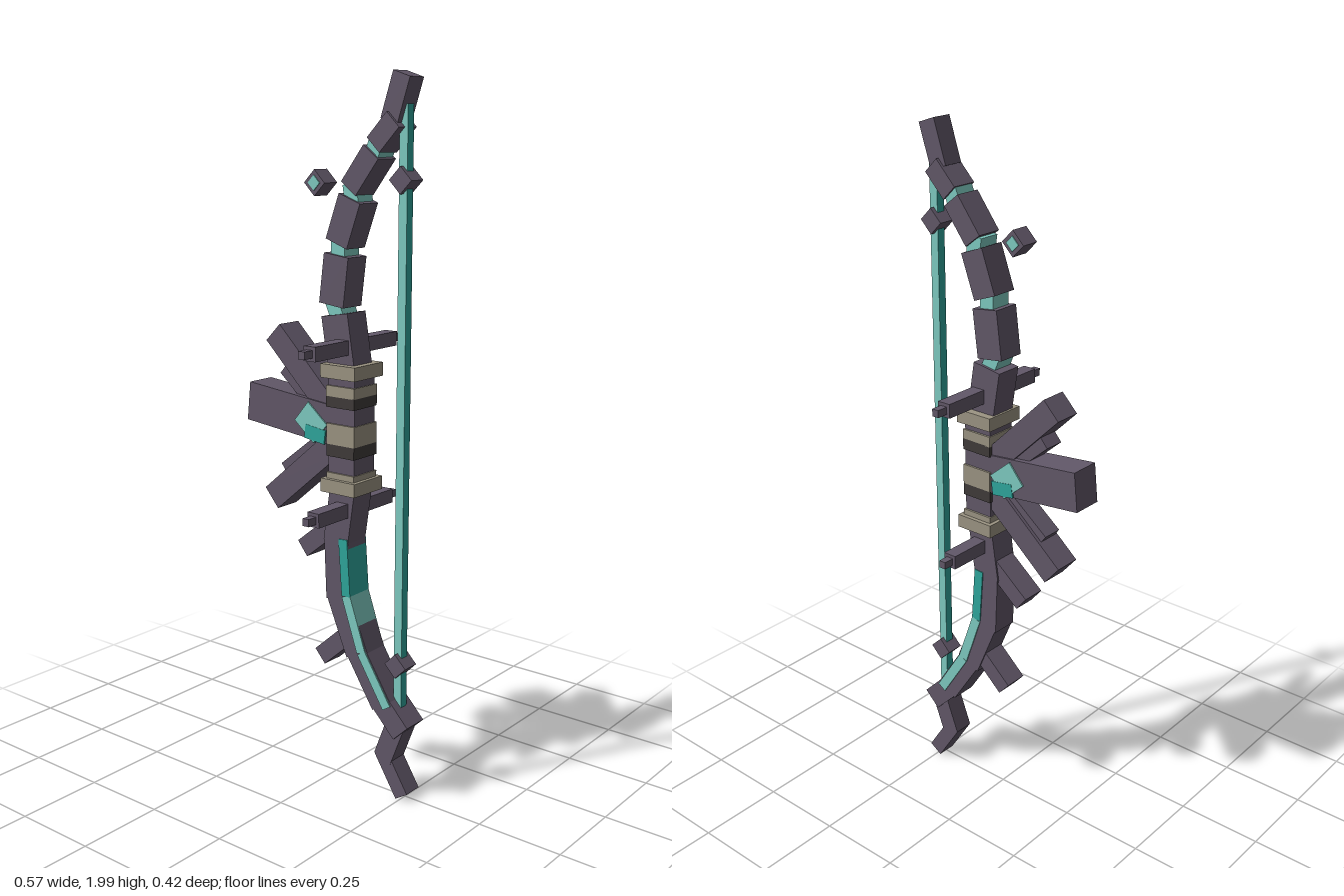
import * as THREE from 'three';

export function createModel() {
  const root = new THREE.Group();
  const paint = (name, hex) => {
    const m = new THREE.MeshStandardMaterial({ color: hex });
    m.name = name;
    return m;
  };
  const purple = paint('dusky purple', 0x625869);
  const tan = paint('tan wrap', 0x9c9583);
  const dark = paint('dark wrap', 0x403b3a);
  const teal = paint('teal', 0x2fa79d);
  const pale = paint('pale teal', 0x7fccc2);

  const box = (name, x, y, z, w, h, d, mat, turn = 0) => {
    const mesh = new THREE.Mesh(new THREE.BoxGeometry(w, h, d), mat);
    mesh.name = name;
    mesh.position.set(x, y, z);
    mesh.rotation.z = turn;
    root.add(mesh);
    return mesh;
  };
  // A box running from (x1, y1) to (x2, y2), centred on z = 0
  const bar = (name, [x1, y1, x2, y2], w, d, mat) => {
    const dx = x2 - x1, dy = y2 - y1;
    return box(name, (x1 + x2) / 2, (y1 + y2) / 2, 0, w, Math.hypot(dx, dy), d, mat, Math.atan2(-dx, dy));
  };

  // Upper limb: separate blocks joined by small glowing links
  const upper = [
    [[0.053, 1.19, 0.024, 1.365], 0.09, 0.08],
    [[0.013, 1.39, 0.03, 1.525], 0.083, 0.08],
    [[0.03, 1.555, 0.074, 1.675], 0.075, 0.079],
    [[0.07, 1.70, 0.143, 1.795], 0.06, 0.078],
    [[0.15, 1.812, 0.212, 1.876], 0.055, 0.077],
    [[0.193, 1.87, 0.232, 1.988], 0.055, 0.06],
  ];
  upper.forEach(([line, w, d], i) => {
    bar('upperLimbBlock', line, w, d, purple);
    if (i < 4) {
      const next = upper[i + 1][0];
      const dx = next[0] - line[2], dy = next[1] - line[3];
      bar('limbLink', [line[2] - dx * 0.5, line[3] - dy * 0.5, next[0] + dx * 0.5, next[1] + dy * 0.5], 0.045, 0.064, pale);
    }
  });

  // Grip with wraps and end rings
  box('grip', 0.053, 1.05, 0, 0.09, 0.36, 0.09, purple);
  box('gripRing', 0.053, 1.214, 0, 0.118, 0.038, 0.126, tan);
  box('gripRing', 0.053, 0.893, 0, 0.118, 0.038, 0.126, tan);
  for (const [y, h, mat] of [[1.158, 0.03, tan], [1.129, 0.032, dark], [1.038, 0.058, tan], [0.992, 0.034, dark], [0.92, 0.018, tan]])
    box('gripWrap', 0.053, y, 0, 0.096, h, 0.102, mat);

  // Lower limb: one continuous bent limb
  const lower = [[0.053, 0.89], [0.03, 0.735], [0.037, 0.57], [0.1, 0.42], [0.185, 0.288], [0.258, 0.213]];
  const widths = [0.085, 0.084, 0.08, 0.072, 0.066];
  widths.forEach((w, i) => {
    const [a, b] = [lower[i], lower[i + 1]];
    const t = i < 4 ? 0.08 : 0;
    bar('lowerLimb', [...a, b[0] + (b[0] - a[0]) * t, b[1] + (b[1] - a[1]) * t], w, 0.08 - i * 0.0006, purple);
  });
  bar('lowerHook', [0.232, 0.225, 0.19, 0.115], 0.06, 0.06, purple);
  bar('lowerTip', [0.183, 0.135, 0.257, 0.018], 0.046, 0.058, purple);

  // Glowing inlay along the inside of the lower limb
  const inlay = [[0.056, 0.74], [0.068, 0.575], [0.122, 0.42], [0.212, 0.278]];
  for (let i = 0; i < 3; i++)
    bar('limbInlay', [...inlay[i], ...inlay[i + 1]], 0.03, 0.086, i ? pale : teal);

  // String and its knots
  box('string', 0.228, 1.094, 0, 0.026, 1.64, 0.026, [teal, teal, teal, teal, pale, pale]);
  for (const y of [1.725, 0.402])
    box('stringKnot', 0.228, y, 0, 0.05, 0.05, 0.052, purple, Math.PI / 4);

  // Fan of blades on the outer side of the grip
  bar('fanBlade', [-0.196, 1.298, 0.04, 1.065], 0.07, 0.08, purple);
  bar('fanBlade', [-0.286, 1.092, 0.02, 1.06], 0.112, 0.09, purple);
  bar('fanBlade', [-0.207, 0.815, 0.04, 1.025], 0.072, 0.08, purple);
  bar('fanBladeInner', [-0.163, 1.2, 0.02, 1.04], 0.045, 0.06, purple);
  bar('fanBladeInner', [-0.163, 0.903, 0.02, 1.045], 0.045, 0.06, purple);
  box('gem', -0.053, 1.06, 0, 0.075, 0.088, 0.098, pale, 0.87);
  bar('gemBase', [-0.073, 1.034, -0.002, 1.024], 0.04, 0.1, teal);

  // Thorns on the lower limb
  bar('thorn', [-0.096, 0.683, 0.025, 0.78], 0.053, 0.07, purple);
  bar('thorn', [-0.032, 0.37, 0.06, 0.452], 0.052, 0.07, purple);

  // Prongs sticking out to the front and back
  for (const [y, reach, tip] of [[1.28, 0.179, 0.212], [0.825, 0.167, 0.198]])
    for (const s of [1, -1]) {
      box('prong', 0.053, y, s * reach / 2, 0.04, 0.04, reach, purple);
      box('prongTip', 0.053, y, s * (reach + tip) / 2, 0.021, 0.021, tip - reach, purple);
    }

  // Floating shard with a glowing core
  box('shard', -0.055, 1.712, 0, 0.05, 0.05, 0.054, purple, Math.PI / 4);
  box('shardCore', -0.055, 1.712, 0, 0.029, 0.029, 0.06, pale, Math.PI / 4);

  return root;
}
